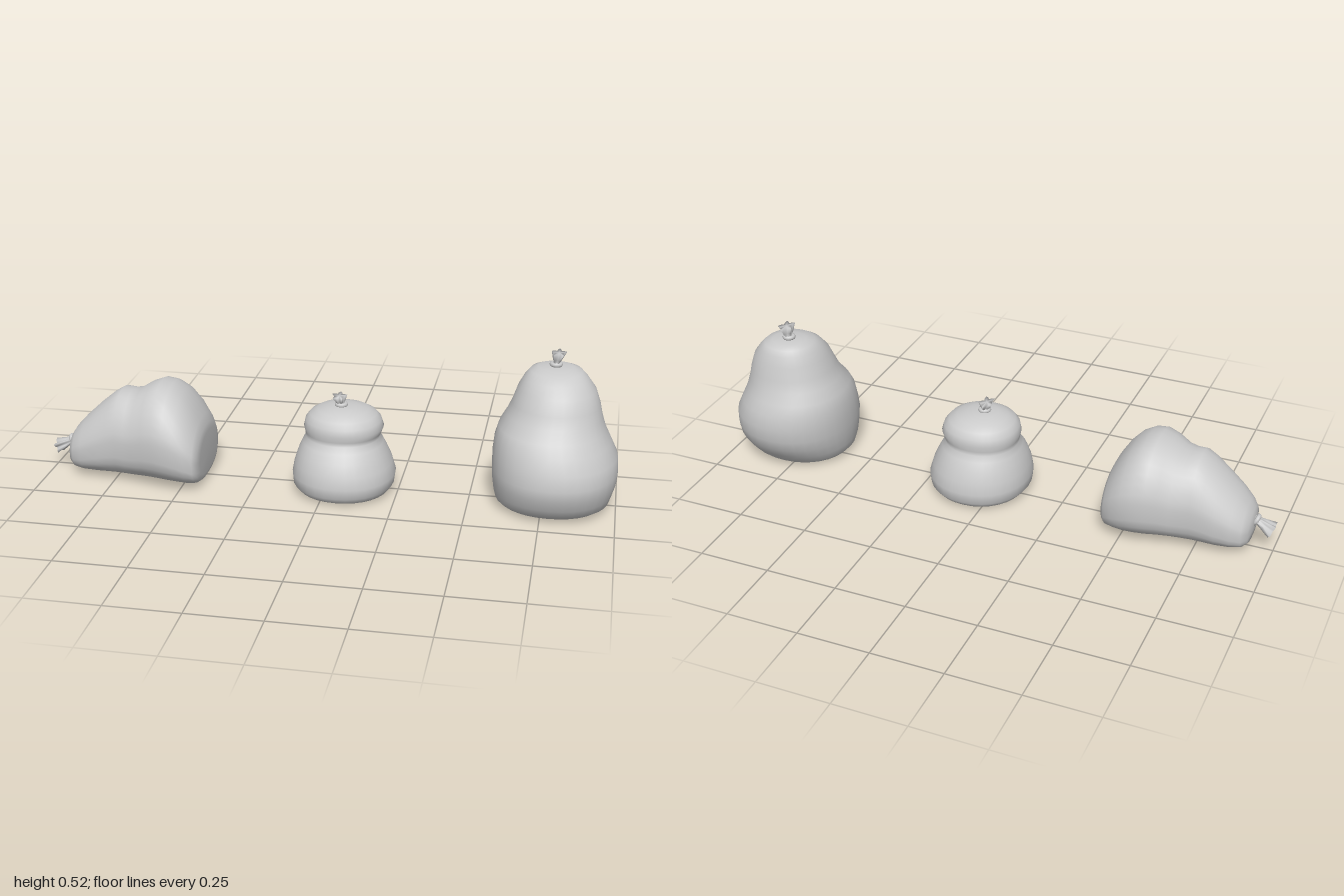
import * as THREE from 'three';

const SEG = 32;
const material = new THREE.MeshStandardMaterial({ color: 0xcccccc, side: THREE.DoubleSide });
const power = (v, p) => Math.sign(v) * Math.abs(v) ** p;

// Skin a stack of closed rings of points, fanned shut at both ends
function skin(name, rings) {
  const cols = rings[0].length;
  const average = (ring) => ring
    .reduce((sum, p) => sum.add(p), new THREE.Vector3())
    .divideScalar(cols);
  const points = [...rings.flat(), average(rings[0]), average(rings.at(-1))];
  const index = [];
  const last = (rings.length - 1) * cols;
  for (let j = 0; j < cols; j++) {
    const k = (j + 1) % cols;
    for (let i = 0; i < last; i += cols) {
      index.push(i + j, i + cols + j, i + k, i + k, i + cols + j, i + cols + k);
    }
    index.push(points.length - 2, j, k, points.length - 1, last + k, last + j);
  }
  const geometry = new THREE.BufferGeometry().setFromPoints(points);
  geometry.setIndex(index);
  geometry.computeVertexNormals();
  const mesh = new THREE.Mesh(geometry, material);
  mesh.name = name;
  return mesh;
}

// Sections are [position along axis, min a, max a, min b, max b]
function body(name, sections, place, shape) {
  return skin(name, sections.map(([t, a0, a1, b0, b1]) =>
    Array.from({ length: SEG }, (_, j) => {
      const angle = (j / SEG) * Math.PI * 2;
      const [u, v] = shape(Math.cos(angle), Math.sin(angle));
      return place(t, (a0 + a1) / 2 + (u * (a1 - a0)) / 2, (b0 + b1) / 2 + (v * (b1 - b0)) / 2);
    })));
}

// Cord round the neck with the gathered, flaring cloth above it
function tie(x, y, z, tilt, height, lean) {
  const group = new THREE.Group();
  group.name = 'tie';
  const cord = new THREE.Mesh(new THREE.TorusGeometry(0.015, 0.008, 8, 16), material);
  cord.name = 'cord';
  cord.rotation.x = Math.PI / 2;
  cord.position.y = 0.006;
  const ring = (h, r, wave) => Array.from({ length: 20 }, (_, j) => {
    const angle = (j / 20) * Math.PI * 2;
    const rad = r * (1 + wave * Math.cos(angle * 5 + Math.PI / 2));
    return new THREE.Vector3(rad * Math.cos(angle) * 0.65 + lean * h / height, h, rad * Math.sin(angle));
  });
  const ruffle = skin('gatheredCloth', [
    ring(-0.02, 0.018, 0),
    ring(0.01, 0.016, 0.1),
    ring(height * 0.5, 0.021, 0.3),
    ring(height, 0.031, 0.36),
  ]);
  group.add(cord, ruffle);
  group.position.set(x, y, z);
  group.rotation.z = tilt;
  return group;
}

function sack(name, ...parts) {
  const group = new THREE.Group();
  group.name = name;
  group.add(...parts);
  return group;
}

export function createModel() {
  const model = new THREE.Group();
  model.name = 'sacks';
  const upright = (t, a, b) => new THREE.Vector3(a, t, b);
  const lying = (t, a, b) => new THREE.Vector3(t, a, b);
  const round = (c, s) => [power(c, 0.95), power(s, 0.95)];
  // Settled under its own weight: flat and wide below, narrowing to the top
  const sagging = (c, s) => {
    const u = power(c, c < 0 ? 0.6 : 0.95);
    return [u, power(s, 0.85) * (1 - 0.12 * Math.max(u, 0))];
  };

  const tall = [
    [0.005, 0.63, 0.93, -0.13, 0.14],
    [0.015, 0.605, 0.955, -0.145, 0.17],
    [0.03, 0.59, 0.975, -0.16, 0.19],
    [0.06, 0.582, 0.985, -0.187, 0.21],
    [0.1, 0.576, 0.997, -0.215, 0.226],
    [0.14, 0.573, 1.0, -0.228, 0.234],
    [0.19, 0.573, 0.995, -0.233, 0.222],
    [0.24, 0.578, 0.97, -0.225, 0.203],
    [0.28, 0.589, 0.95, -0.208, 0.175],
    [0.32, 0.612, 0.937, -0.188, 0.14],
    [0.36, 0.63, 0.928, -0.177, 0.125],
    [0.41, 0.647, 0.91, -0.165, 0.1],
    [0.445, 0.667, 0.882, -0.152, 0.068],
    [0.465, 0.685, 0.86, -0.14, 0.035],
    [0.475, 0.71, 0.83, -0.115, -0.005],
    [0.477, 0.75, 0.79, -0.08, -0.04],
  ];
  model.add(sack('tallSack', body('tallSackBody', tall, upright, round),
    tie(0.77, 0.477, -0.06, 0, 0.047, 0.008)));

  const small = [
    [0.004, -0.07, 0.19, -0.13, 0.15],
    [0.014, -0.1, 0.22, -0.16, 0.18],
    [0.035, -0.117, 0.235, -0.178, 0.197],
    [0.07, -0.12, 0.24, -0.18, 0.2],
    [0.11, -0.113, 0.228, -0.172, 0.19],
    [0.15, -0.1, 0.21, -0.157, 0.172],
    [0.18, -0.086, 0.194, -0.14, 0.148],
    [0.2, -0.076, 0.183, -0.126, 0.13],
    [0.215, -0.077, 0.187, -0.126, 0.13],
    [0.235, -0.082, 0.195, -0.13, 0.135],
    [0.26, -0.077, 0.187, -0.126, 0.13],
    [0.28, -0.061, 0.17, -0.11, 0.115],
    [0.295, -0.035, 0.142, -0.085, 0.09],
    [0.305, 0.0, 0.105, -0.05, 0.06],
    [0.307, 0.03, 0.07, -0.015, 0.025],
  ];
  model.add(sack('smallSack', body('smallSackBody', small, upright, round),
    tie(0.048, 0.305, 0.008, 0, 0.037, -0.008)));

  // Lying on its side, base towards +x and neck towards -x
  const fallen = [
    [-0.428, 0.035, 0.18, -0.1, 0.135],
    [-0.432, 0.02, 0.205, -0.125, 0.17],
    [-0.445, 0.012, 0.235, -0.145, 0.188],
    [-0.475, 0.008, 0.285, -0.163, 0.2],
    [-0.51, 0.008, 0.325, -0.176, 0.205],
    [-0.55, 0.01, 0.35, -0.18, 0.204],
    [-0.59, 0.012, 0.357, -0.175, 0.196],
    [-0.63, 0.013, 0.343, -0.16, 0.183],
    [-0.67, 0.013, 0.318, -0.145, 0.17],
    [-0.7, 0.012, 0.314, -0.137, 0.16],
    [-0.735, 0.012, 0.318, -0.132, 0.152],
    [-0.77, 0.012, 0.297, -0.127, 0.146],
    [-0.82, 0.012, 0.255, -0.12, 0.137],
    [-0.87, 0.014, 0.208, -0.106, 0.125],
    [-0.905, 0.02, 0.17, -0.09, 0.108],
    [-0.923, 0.033, 0.143, -0.065, 0.085],
    [-0.93, 0.07, 0.12, -0.02, 0.04],
  ];
  model.add(sack('fallenSack', body('fallenSackBody', fallen, lying, sagging),
    tie(-0.928, 0.108, 0.01, 2.05, 0.07, 0)));
  return model;
}
